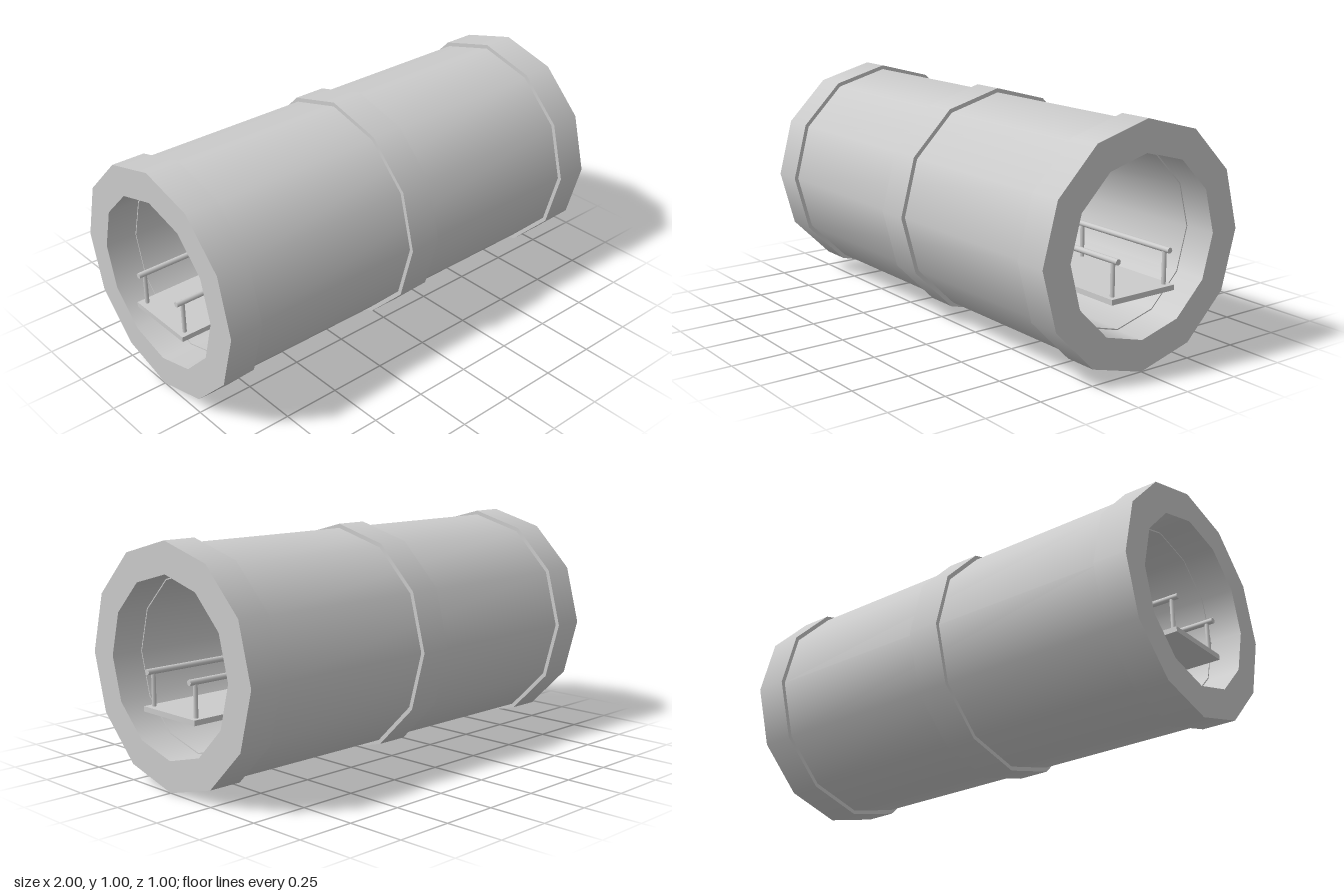
import * as THREE from 'three';
import { mergeGeometries } from 'three/addons/utils/BufferGeometryUtils.js';

const SIDES = 12;
const CENTER_Y = 0.498;

export function createModel() {
  const model = new THREE.Group();
  model.name = 'tunnelSegment';
  const material = new THREE.MeshStandardMaterial({ color: 0xcccccc });

  function add(name, geometry, x, y, z) {
    const mesh = new THREE.Mesh(geometry, material);
    mesh.name = name;
    mesh.position.set(x, y, z);
    model.add(mesh);
    return mesh;
  }

  // Hollow twelve-sided pipe along x: smooth around, sharp at its rims
  function pipe(name, outer, inner, length, x) {
    const h = length / 2;
    const corners = [[outer, -h], [outer, h], [inner, h], [inner, -h]]
      .map(([r, y]) => new THREE.Vector2(r, y));
    const bands = corners.map((p, i) =>
      new THREE.LatheGeometry([p, corners[(i + 1) % 4]], SIDES));
    const geometry = mergeGeometries(bands);
    geometry.rotateZ(-Math.PI / 2);
    add(name, geometry, x, CENTER_Y, 0);
  }

  // Tube wall and its three collars
  pipe('tubeWall', 0.48, 0.363, 1.72, 0);
  pipe('middleCollar', 0.498, 0.4, 0.145, 0);
  pipe('leftEndCollar', 0.498, 0.368, 0.145, 0.9275);
  pipe('rightEndCollar', 0.498, 0.368, 0.145, -0.9275);

  // Walkway deck
  add('walkwayDeck', new THREE.BoxGeometry(2, 0.022, 0.324), 0, 0.312, 0);

  // Handrails with evenly spaced posts
  const railGeometry = new THREE.CylinderGeometry(0.012, 0.012, 2, 10);
  railGeometry.rotateZ(Math.PI / 2);
  const postGeometry = new THREE.CylinderGeometry(0.009, 0.009, 0.145, 8);
  for (const side of [-1, 1]) {
    const z = side * 0.134;
    add('handrail', railGeometry, 0, 0.465, z);
    for (let i = -2; i <= 2; i++) {
      add('handrailPost', postGeometry, i * 0.485, 0.3925, z);
    }
  }

  return model;
}
